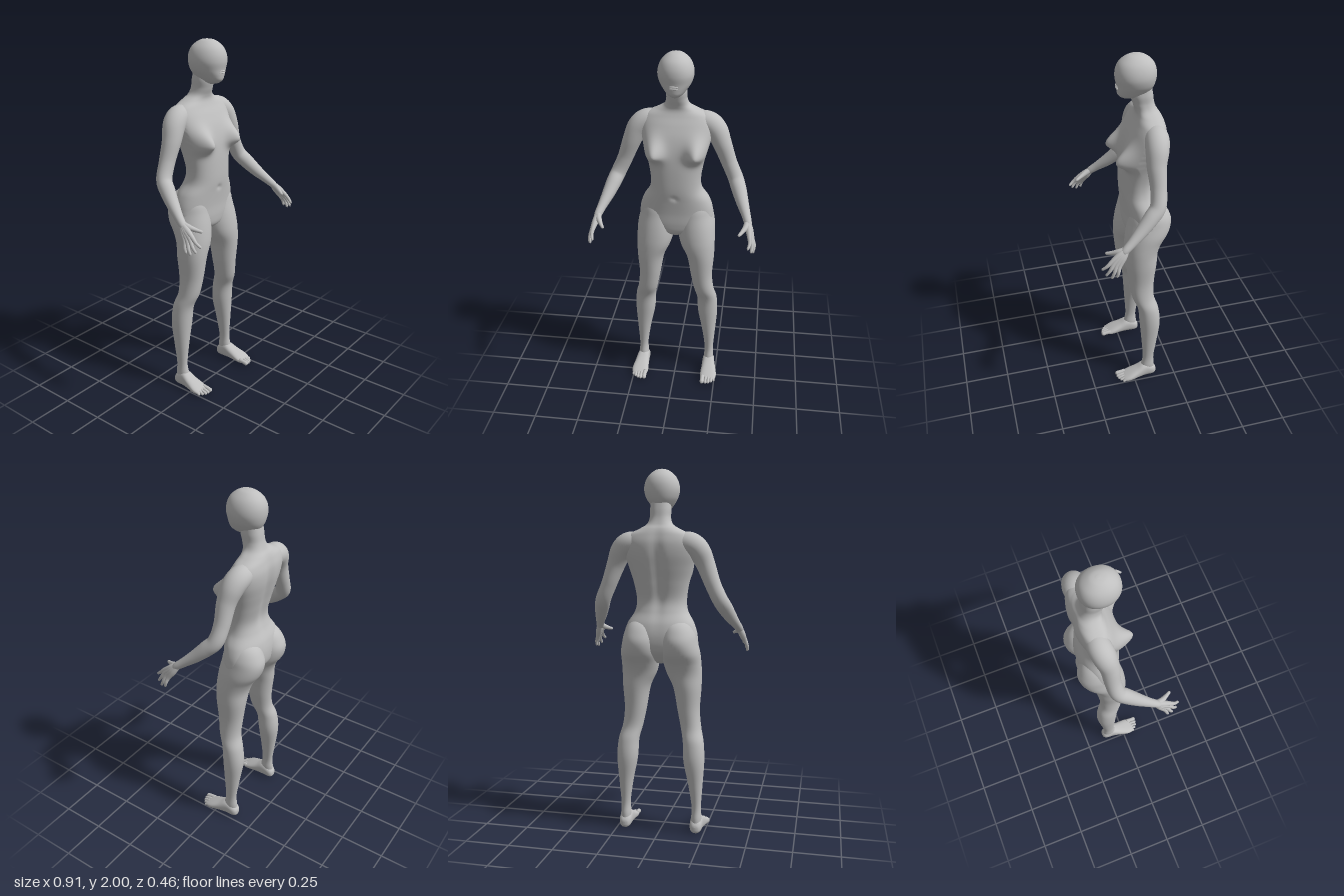
import * as THREE from 'three';

const skin = new THREE.MeshStandardMaterial({ color: 0xbfbfbf });
skin.name = 'plainGrey';

// Smooth interpolation through rows of numbers, t from 0 to 1
function sample(rows, t) {
  const n = rows.length - 1, i = Math.min(Math.floor(t * n), n - 1), f = t * n - i;
  const [a, b, c, d] = [i - 1, i, i + 1, i + 2].map(k => rows[Math.max(0, Math.min(n, k))]);
  return b.map((_, k) => b[k] + 0.5 * f * (c[k] - a[k] +
    f * (2 * a[k] - 5 * b[k] + 4 * c[k] - d[k] + f * (3 * (b[k] - c[k]) + d[k] - a[k]))));
}

// Skin a list of closed rings, closing both ends with a centre point
function skinRings(rings, rule) {
  const n = rings[0].length, m = rings.length, pos = [], index = [];
  rings.forEach(r => r.forEach(p => { if (rule) rule(p); pos.push(p.x, p.y, p.z); }));
  for (const r of [rings[0], rings[m - 1]]) {
    const c = r.reduce((s, p) => s.add(p), new THREE.Vector3()).divideScalar(n);
    pos.push(c.x, c.y, c.z);
  }
  for (let j = 0; j < n; j++) {
    const k = (j + 1) % n;
    for (let i = 0; i < m - 1; i++) {
      const a = i * n + j, b = i * n + k;
      index.push(a, b, a + n, b, b + n, a + n);
    }
    index.push(m * n, k, j, m * n + 1, (m - 1) * n + j, (m - 1) * n + k);
  }
  const g = new THREE.BufferGeometry();
  g.setAttribute('position', new THREE.Float32BufferAttribute(pos, 3));
  g.setIndex(index);
  g.computeVertexNormals();
  return g;
}

// Loft from the top down: rows of [y, centre x, half width, front z, back z]
function loft(rows, { steps = 60, sides = 40, power = 2, rule } = {}) {
  const bend = v => Math.sign(v) * Math.abs(v) ** (2 / power), rings = [];
  for (let i = 0; i <= steps; i++) {
    const [y, cx, w, f, b] = sample(rows, i / steps), ring = [];
    for (let j = 0; j < sides; j++) {
      const a = j / sides * Math.PI * 2;
      ring.push(new THREE.Vector3(cx + w * bend(Math.cos(a)), y, (f + b) / 2 + (f - b) / 2 * bend(Math.sin(a))));
    }
    rings.push(ring);
  }
  return skinRings(rings, rule);
}

// Tapered limb with a rounded tip: rows of [x, y, z, radius]
function limb(rows, steps = 24, sides = 12) {
  const curve = new THREE.CatmullRomCurve3(rows.map(r => new THREE.Vector3(r[0], r[1], r[2])), false, 'catmullrom', 0.5);
  const frames = curve.computeFrenetFrames(steps), rings = [];
  const end = rows[rows.length - 1][3], length = curve.getLength();
  for (let i = 0; i <= steps; i++) {
    const u = i / steps, t = curve.getUtoTmapping(u), c = curve.getPoint(t);
    const left = Math.min(1, (1 - u) * length / end);
    const r = sample(rows, t)[3] * Math.max(0.15, Math.sqrt(1 - (1 - left) ** 2));
    const ring = [];
    for (let j = 0; j < sides; j++) {
      const a = j / sides * Math.PI * 2;
      ring.push(c.clone().addScaledVector(frames.normals[i], r * Math.cos(a))
        .addScaledVector(frames.binormals[i], r * Math.sin(a)));
    }
    rings.push(ring);
  }
  return skinRings(rings);
}

// Mirror across x and restore the corner order
function mirrored(geometry) {
  const g = geometry.clone().scale(-1, 1, 1), ix = g.index.array;
  for (let i = 0; i < ix.length; i += 3) [ix[i], ix[i + 1]] = [ix[i + 1], ix[i]];
  g.computeVertexNormals();
  return g;
}

const bump = (d, s) => Math.exp(-((d / s) ** 2));

// Chest fullness, spine groove and navel
function shapeTorso(p) {
  const ax = Math.abs(p.x);
  if (p.z > -0.06) {
    const d = Math.hypot(ax - 0.118, (p.y - 1.465) * (p.y > 1.465 ? 0.7 : 1.2));
    p.z += 0.075 * bump(d, 0.05) - 0.008 * bump(Math.hypot(p.x, p.y - 1.21), 0.014);
  } else if (p.z < -0.1) {
    p.z += 0.016 * bump(p.x, 0.03) * bump(p.y - 1.45, 0.2);
  }
}

export function createModel() {
  const model = new THREE.Group();
  model.name = 'figure';
  const add = (name, geometry) => {
    const mesh = new THREE.Mesh(geometry, skin);
    mesh.name = name;
    model.add(mesh);
  };
  const addPair = (name, geometry) => {
    add('left' + name, geometry);
    add('right' + name, mirrored(geometry));
  };

  // Head
  add('head', loft([
    [2.0, 0, 0.006, -0.05, -0.065], [1.992, 0, 0.037, -0.012, -0.1], [1.965, 0, 0.07, 0.026, -0.138],
    [1.93, 0, 0.089, 0.045, -0.157], [1.89, 0, 0.095, 0.05, -0.161], [1.85, 0, 0.085, 0.044, -0.154],
    [1.82, 0, 0.067, 0.042, -0.14], [1.795, 0, 0.047, 0.036, -0.12], [1.778, 0, 0.028, 0.014, -0.1],
    [1.77, 0, 0.008, -0.02, -0.07]], { power: 2.1 }));

  // Lips and closed eyes
  for (const y of [1.833, 1.843])
    add('lip', new THREE.SphereGeometry(1, 16, 10).scale(0.024, 0.0045, 0.007).translate(0, y, 0.041));
  addPair('Eyelid', new THREE.SphereGeometry(1, 16, 10).scale(0.016, 0.006, 0.006)
    .rotateY(0.5).translate(0.042, 1.897, 0.032));

  // Neck, trunk and pelvis
  add('torso', loft([
    [1.84, 0, 0.05, -0.04, -0.135], [1.79, 0, 0.056, -0.03, -0.145], [1.745, 0, 0.056, -0.04, -0.152],
    [1.71, 0, 0.07, -0.052, -0.165], [1.685, 0, 0.11, -0.055, -0.182], [1.655, 0, 0.17, -0.045, -0.194],
    [1.61, 0, 0.195, -0.022, -0.204], [1.55, 0, 0.193, 0.003, -0.202], [1.48, 0, 0.174, 0.02, -0.188],
    [1.4, 0, 0.152, 0.028, -0.168], [1.31, 0, 0.138, 0.03, -0.15], [1.245, 0, 0.146, 0.028, -0.163],
    [1.18, 0, 0.184, 0.02, -0.19], [1.11, 0, 0.204, 0.013, -0.2], [1.04, 0, 0.198, 0.01, -0.19],
    [0.99, 0, 0.12, 0.0, -0.15], [0.96, 0, 0.03, -0.03, -0.11]],
  { steps: 140, sides: 96, power: 2.3, rule: shapeTorso }));

  // Legs, from hip to ankle
  addPair('Leg', loft([
    [1.22, 0.1, 0.03, -0.05, -0.12], [1.18, 0.1, 0.07, -0.02, -0.185], [1.13, 0.104, 0.092, 0.0, -0.218],
    [1.08, 0.107, 0.1, 0.01, -0.231], [1.02, 0.112, 0.107, 0.022, -0.216], [0.96, 0.118, 0.104, 0.03, -0.177],
    [0.9, 0.127, 0.096, 0.033, -0.153], [0.82, 0.144, 0.077, 0.028, -0.144], [0.7, 0.151, 0.062, 0.014, -0.13],
    [0.6, 0.166, 0.057, -0.002, -0.127], [0.52, 0.184, 0.058, -0.032, -0.15], [0.415, 0.19, 0.058, -0.042, -0.161],
    [0.28, 0.199, 0.04, -0.052, -0.144], [0.15, 0.204, 0.026, -0.06, -0.126], [0.08, 0.204, 0.029, -0.05, -0.13],
    [0.03, 0.204, 0.027, -0.05, -0.128]], { steps: 90, power: 2.1 }));

  // Feet, lofted toe to heel as [z, x, half width, -sole, -top]
  addPair('Foot', loft([
    [0.073, 0.21, 0.025, -0.01, -0.02], [0.063, 0.211, 0.042, -0.005, -0.029], [0.03, 0.212, 0.049, -0.002, -0.046],
    [-0.02, 0.209, 0.043, -0.003, -0.07], [-0.07, 0.205, 0.037, -0.001, -0.095], [-0.115, 0.204, 0.033, -0.001, -0.075],
    [-0.135, 0.204, 0.022, -0.008, -0.055], [-0.141, 0.204, 0.006, -0.02, -0.04]],
  { steps: 40, power: 2.4 }).rotateX(Math.PI / 2));
  [[0.179, 0.108, 0.0135], [0.2, 0.106, 0.0095], [0.217, 0.101, 0.009], [0.233, 0.09, 0.0085], [0.248, 0.076, 0.008]]
    .forEach(([x, z, r], i) => addPair('Toe' + (i + 1),
      limb([[x, 0.024, z - 0.06, r], [x, 0.021, z - 0.03, r * 0.9], [x, r + 0.001, z, r]], 16)));

  // Arms, from inside the shoulder to the wrist
  addPair('Arm', limb([
    [0.1, 1.615, -0.125, 0.055], [0.165, 1.608, -0.122, 0.062], [0.211, 1.572, -0.112, 0.06],
    [0.246, 1.5, -0.1, 0.051], [0.286, 1.395, -0.1, 0.043], [0.324, 1.312, -0.088, 0.042],
    [0.346, 1.265, -0.047, 0.041], [0.37, 1.212, 0.008, 0.034], [0.394, 1.165, 0.065, 0.025],
    [0.408, 1.135, 0.103, 0.021], [0.415, 1.115, 0.125, 0.016]], 70, 32));

  // Hands: each finger runs from the wrist over the palm to its tip
  [[0.421, 1.088, 0.177, 0.415, 1.04, 0.232], [0.428, 1.077, 0.169, 0.433, 1.012, 0.214],
    [0.433, 1.067, 0.157, 0.444, 0.997, 0.187], [0.436, 1.06, 0.143, 0.448, 1.002, 0.16]]
    .forEach(([kx, ky, kz, tx, ty, tz], i) => addPair('Finger' + (i + 1), limb([
      [0.406, 1.142, 0.095, 0.016], [(kx + 0.406) / 2, (ky + 1.142) / 2, (kz + 0.095) / 2, 0.018], [kx, ky, kz, 0.0125],
      [(kx + tx) / 2 + 0.006, (ky + ty) / 2, (kz + tz) / 2, 0.009], [tx, ty, tz, 0.007]], 28)));
  addPair('Thumb', limb([[0.405, 1.138, 0.1, 0.016], [0.398, 1.125, 0.135, 0.016],
    [0.38, 1.112, 0.17, 0.011], [0.362, 1.102, 0.2, 0.008]], 22));

  return model;
}
